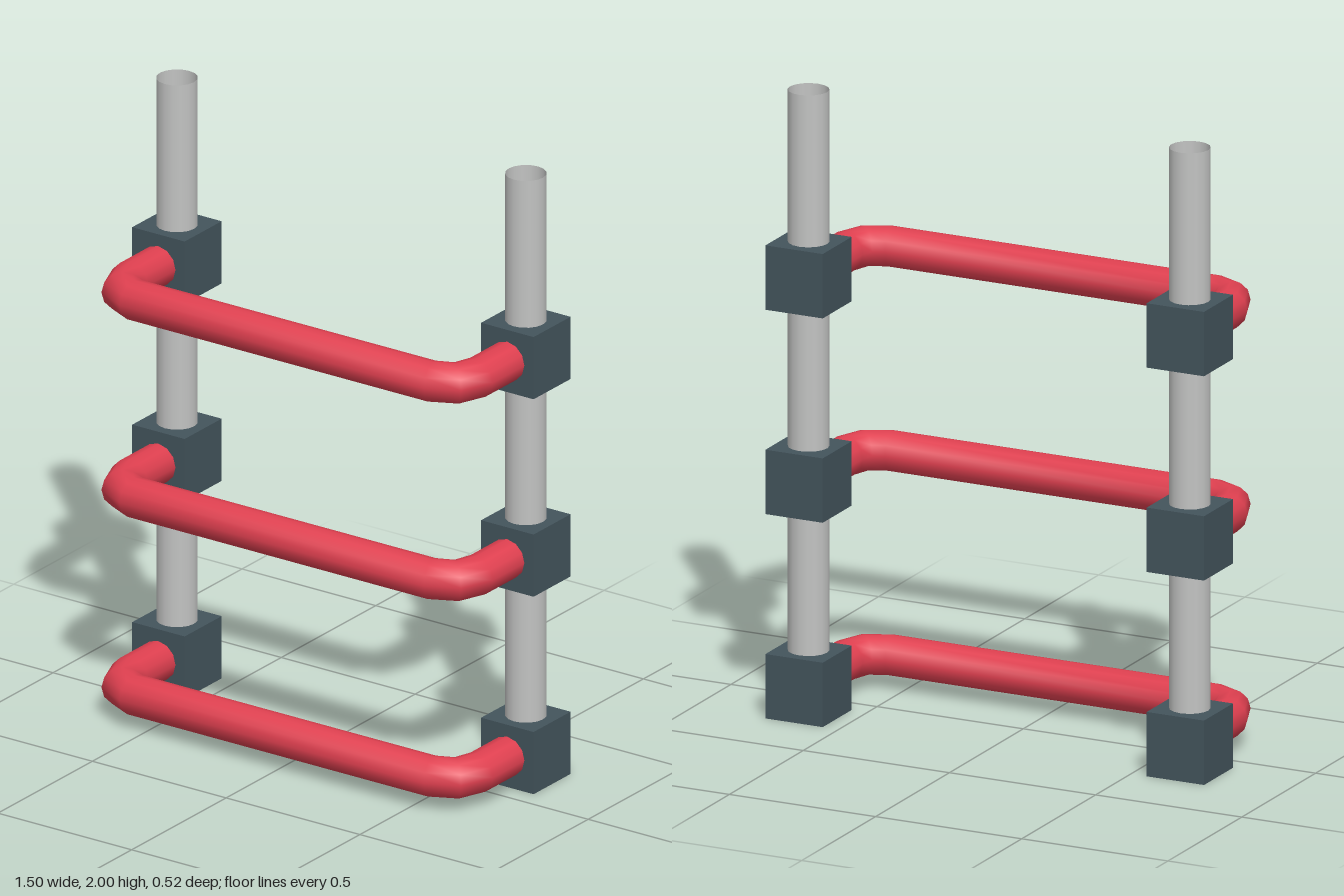
import * as THREE from 'three';

// Curve that passes straight through its points, with averaged tangents at the bends
class BentPath extends THREE.Curve {
  constructor(points) {
    super();
    this.points = points;
  }
  getPoint(t, target = new THREE.Vector3()) {
    const n = this.points.length - 1;
    const i = Math.min(Math.floor(t * n + 1e-6), n - 1);
    return target.lerpVectors(this.points[i], this.points[i + 1], t * n - i);
  }
  getPointAt(t, target) {
    return this.getPoint(t, target);
  }
  getTangentAt(t, target = new THREE.Vector3()) {
    const p = this.points, n = p.length - 1, i = Math.round(t * n);
    target.set(0, 0, 0);
    if (i > 0) target.add(p[i].clone().sub(p[i - 1]).normalize());
    if (i < n) target.add(p[i + 1].clone().sub(p[i]).normalize());
    return target.normalize();
  }
}

export function createModel() {
  const model = new THREE.Group();
  model.name = 'rungLadder';

  const steel = new THREE.MeshStandardMaterial({ color: 0xc2c3c2, side: THREE.DoubleSide });
  steel.name = 'steelGrey';
  const slate = new THREE.MeshStandardMaterial({ color: 0x43545c });
  slate.name = 'slateBlue';
  const red = new THREE.MeshStandardMaterial({ color: 0xe04050, side: THREE.DoubleSide });
  red.name = 'rungRed';

  const add = (name, geometry, material, x, y, z) => {
    const mesh = new THREE.Mesh(geometry, material);
    mesh.name = name;
    mesh.position.set(x, y, z);
    model.add(mesh);
  };

  const poleX = 0.652, poleZ = -0.163;
  const levels = [0.103, 0.757, 1.411];

  // Rung path: half of the U shape, mirrored
  const half = [[poleX, poleZ + 0.02], [poleX, 0.09], [0.625, 0.165], [0.555, 0.197]];
  const path = [
    ...half.map(([x, z]) => new THREE.Vector3(-x, 0, z)),
    ...half.slice().reverse().map(([x, z]) => new THREE.Vector3(x, 0, z)),
  ];
  const rung = new THREE.TubeGeometry(new BentPath(path), path.length - 1, 0.064, 12, false);
  const block = new THREE.BoxGeometry(0.196, 0.206, 0.196);
  // Hollow pole, open at the top
  const pole = new THREE.CylinderGeometry(0.064, 0.064, 1.9, 16, 1, true);

  for (const [side, s] of [['left', 1], ['right', -1]]) {
    add(side + 'Pole', pole, steel, s * poleX, 1.05, poleZ);
    levels.forEach((y, i) => add(`${side}Block${i + 1}`, block, slate, s * poleX, y, poleZ));
  }
  levels.forEach((y, i) => add(`rung${i + 1}`, rung, red, 0, y, 0));

  return model;
}
